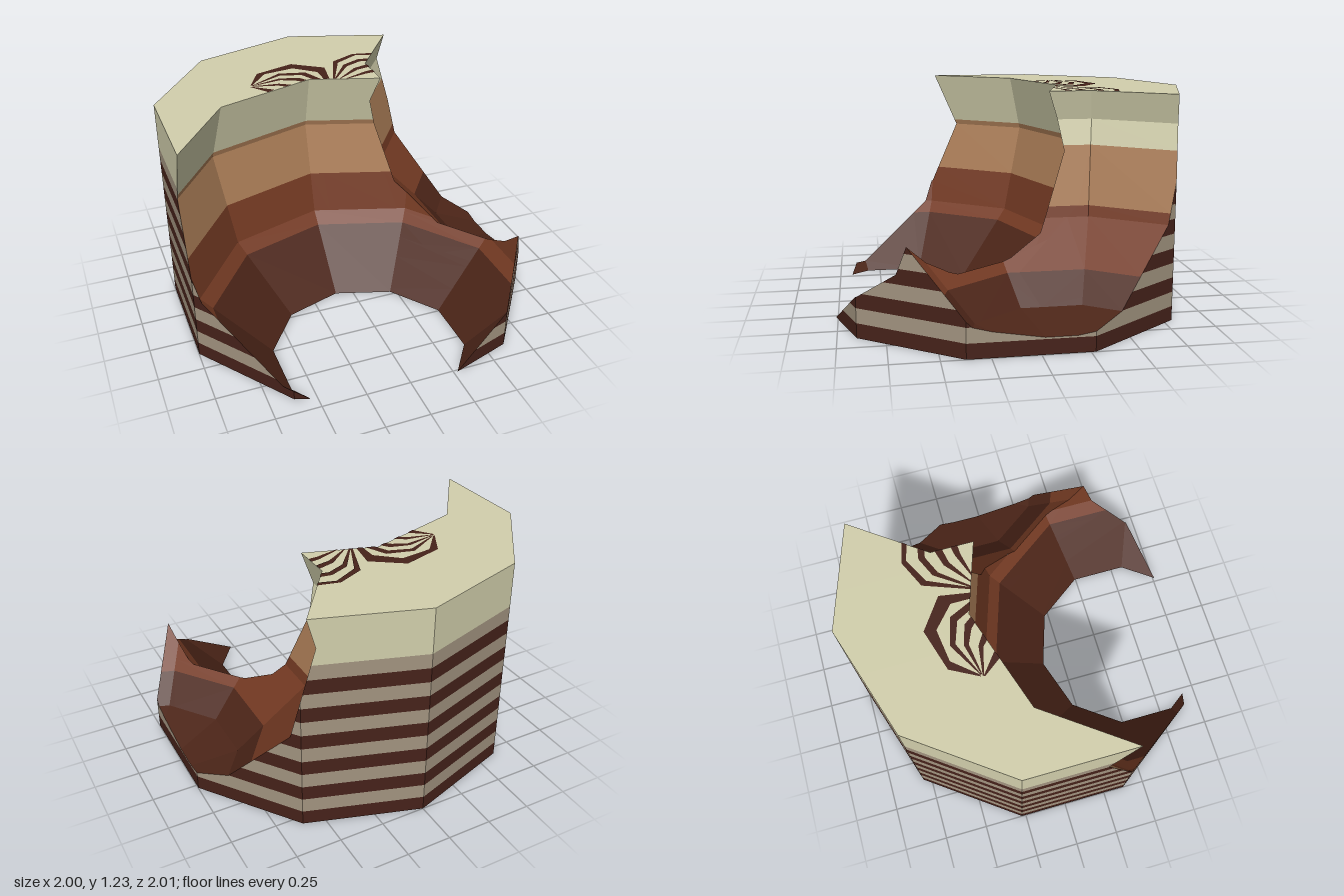
import * as THREE from 'three';

const V = (x, y, z) => new THREE.Vector3(x, y, z);
const CREAM = 0xd2cfac, PALE = 0xa29480, DARK = 0x46221a;
const COCOA = 0x4c2518, BROWN = 0x743a23, TAN = 0xaa7c56;
const SIDES = 10, R = 1.05, H = 1.23;

// Plane of a flat polygon, following its corner order
function planeOf(poly) {
  const n = V(0, 0, 0);
  poly.forEach((p, i) => n.add(p.clone().cross(poly[(i + 1) % poly.length])));
  n.normalize();
  return new THREE.Plane(n, -n.dot(poly[0]));
}

// Cut a polygon by a plane into [outside, inside]
function split(poly, plane) {
  const out = [], inside = [];
  poly.forEach((a, i) => {
    const b = poly[(i + 1) % poly.length];
    const da = plane.distanceToPoint(a), db = plane.distanceToPoint(b);
    if (da >= -1e-7) out.push(a);
    if (da <= 1e-7) inside.push(a);
    if ((da > 1e-7 && db < -1e-7) || (da < -1e-7 && db > 1e-7)) {
      const p = a.clone().lerp(b, da / (da - db));
      out.push(p);
      inside.push(p);
    }
  });
  return [out, inside].map(p => (p.length > 2 && area(p) > 1e-8 ? p : null));
}

function area(poly) {
  const s = V(0, 0, 0);
  for (let i = 2; i < poly.length; i++) {
    s.add(poly[i - 1].clone().sub(poly[0]).cross(poly[i].clone().sub(poly[0])));
  }
  return s.length() / 2;
}

// Parts of the polygons outside / inside a convex solid
function outsideOf(polys, solid) {
  return polys.flatMap(poly => {
    const pieces = [];
    let rest = poly;
    for (const plane of solid.planes) {
      const [out, inside] = split(rest, plane);
      if (out) pieces.push(out);
      rest = inside;
      if (!rest) return [poly];
      if (rest.length < 3) break;
    }
    return pieces;
  });
}
function insideOf(polys, solid) {
  return polys.flatMap(poly => {
    let rest = poly;
    for (const plane of solid.planes) {
      rest = split(rest, plane)[1];
      if (!rest) return [];
    }
    return [rest];
  });
}

// Convex solid from stacked ten-sided rings [radius, y]
function ringSolid(cx, cz, rings) {
  const at = ([r, y], i) => {
    const a = (i / SIDES) * Math.PI * 2;
    return V(cx + r * Math.sin(a), y, cz - r * Math.cos(a));
  };
  const faces = [];
  for (let k = 0; k + 1 < rings.length; k++) {
    for (let i = 0; i < SIDES; i++) {
      const quad = [at(rings[k], i), at(rings[k + 1], i), at(rings[k + 1], i + 1), at(rings[k], i + 1)];
      if (rings[k][0] < 1e-6) quad.pop();
      else if (rings[k + 1][0] < 1e-6) quad.splice(2, 1);
      faces.push(quad);
    }
  }
  for (const ring of [rings[0], rings[rings.length - 1]]) {
    if (ring[0] > 1e-6) faces.push(Array.from({ length: SIDES }, (_, i) => at(ring, i)));
  }
  const mid = V(cx, (rings[0][1] + rings[rings.length - 1][1]) / 2, cz);
  faces.forEach(f => { if (planeOf(f).distanceToPoint(mid) > 0) f.reverse(); });
  return { faces, planes: faces.map(planeOf) };
}

function biteSolid(x, y, z) {
  const rings = [];
  for (let k = 0; k <= 6; k++) {
    const t = (k / 6) * Math.PI;
    rings.push([k % 6 ? R * Math.sin(t) : 0, y - R * Math.cos(t)]);
  }
  return ringSolid(x, z, rings);
}

function addMesh(group, name, polys, color) {
  const pos = [];
  for (const p of polys) {
    for (let i = 2; i < p.length; i++) {
      for (const v of [p[0], p[i - 1], p[i]]) pos.push(v.x, v.y, v.z);
    }
  }
  if (!pos.length) return;
  const geo = new THREE.BufferGeometry();
  geo.setAttribute('position', new THREE.Float32BufferAttribute(pos, 3));
  geo.computeVertexNormals();
  const mesh = new THREE.Mesh(geo, new THREE.MeshStandardMaterial({ color, flatShading: true }));
  mesh.name = name;
  group.add(mesh);
}

// Slice polygons at the top of each band [top, color, name] and add one mesh per band
function addBands(group, polys, bands) {
  let rest = polys;
  for (const [top, color, name] of bands) {
    const cut = new THREE.Plane(V(0, 1, 0), -top), band = [], above = [];
    for (const p of rest) {
      const [o, i] = split(p, cut);
      if (i) band.push(i);
      if (o) above.push(o);
    }
    addMesh(group, name, band, color);
    rest = above;
  }
}

export function createModel() {
  const model = new THREE.Group();
  model.name = 'bittenCake';
  const cake = ringSolid(0, 0.05, [[R, 0], [R, H]]);
  const bites = [biteSolid(-0.1, 0.9, 0.66), biteSolid(1.25, 1.07, -0.1)];
  const bitten = polys => bites.reduce(outsideOf, polys);

  // Striped outer wall with the icing rim above
  const outer = new THREE.Group();
  outer.name = 'outerWall';
  const bands = [];
  for (let i = 0; i < 12; i++) {
    bands.push([(i + 1) * 0.0814, i % 2 ? PALE : DARK, i % 2 ? 'paleStripe' : 'darkStripe']);
  }
  bands.push([H + 1, CREAM, 'icingRim']);
  addBands(outer, bitten(cake.faces.slice(0, SIDES)), bands);
  model.add(outer);

  // Flat underside and icing top
  const [base, top] = cake.faces.slice(SIDES);
  addMesh(model, 'underside', bitten([base]), CREAM);
  addMesh(model, 'icingTop', bitten([top]), CREAM);

  // Layered insides of the two bites
  bites.forEach((bite, i) => {
    const inner = new THREE.Group();
    inner.name = i ? 'sideBite' : 'frontBite';
    const polys = outsideOf(insideOf(bite.faces, cake), bites[1 - i]).map(p => p.slice().reverse());
    addBands(inner, polys, [
      [0.31, COCOA, 'bottomLayer'], [0.605, BROWN, 'middleLayer'],
      [0.93, TAN, 'topLayer'], [H + 1, CREAM, 'icingLayer'],
    ]);
    model.add(inner);
  });

  // Piped swirls: strips between an outer and an inner line of [x, z] points
  const swirls = [
    [[[-0.44, -0.33], [-0.36, -0.48], [-0.13, -0.55], [0.04, -0.43], [0.01, -0.25]],
      [[-0.43, -0.33], [-0.32, -0.46], [-0.14, -0.485], [-0.02, -0.38], [-0.02, -0.25]]],
    [[[-0.43, -0.33], [-0.24, -0.44], [-0.09, -0.40], [-0.03, -0.27]],
      [[-0.43, -0.325], [-0.24, -0.41], [-0.12, -0.37], [-0.07, -0.27]]],
    [[[-0.43, -0.325], [-0.26, -0.37], [-0.15, -0.34], [-0.09, -0.26]],
      [[-0.43, -0.32], [-0.26, -0.345], [-0.18, -0.31], [-0.13, -0.26]]],
    [[[-0.44, -0.32], [-0.28, -0.30], [-0.2, -0.25]], [[-0.44, -0.315], [-0.29, -0.275], [-0.25, -0.24]]],
    [[[-0.44, -0.315], [-0.33, -0.23]], [[-0.445, -0.31], [-0.37, -0.21]]],
    [[[0.02, -0.23], [0.12, -0.5], [0.27, -0.57], [0.4, -0.54]],
      [[0.03, -0.23], [0.14, -0.47], [0.28, -0.545], [0.4, -0.51]]],
    [[[0.03, -0.24], [0.16, -0.43], [0.27, -0.48], [0.4, -0.46]],
      [[0.04, -0.24], [0.17, -0.40], [0.27, -0.445], [0.4, -0.42]]],
    [[[0.06, -0.24], [0.2, -0.36], [0.4, -0.42]], [[0.06, -0.235], [0.21, -0.33], [0.4, -0.37]]],
    [[[0.09, -0.23], [0.24, -0.29], [0.4, -0.32]], [[0.09, -0.225], [0.24, -0.26], [0.4, -0.27]]],
  ];
  const strips = [];
  for (const [a, b] of swirls) {
    for (let i = 0; i + 1 < a.length; i++) {
      const quad = [a[i], a[i + 1], b[i + 1], b[i]].map(([x, z]) => V(x, H + 0.003, z));
      if (planeOf(quad).normal.y < 0) quad.reverse();
      strips.push(quad);
    }
  }
  addMesh(model, 'pipedSwirls', bitten(strips), DARK);
  return model;
}
